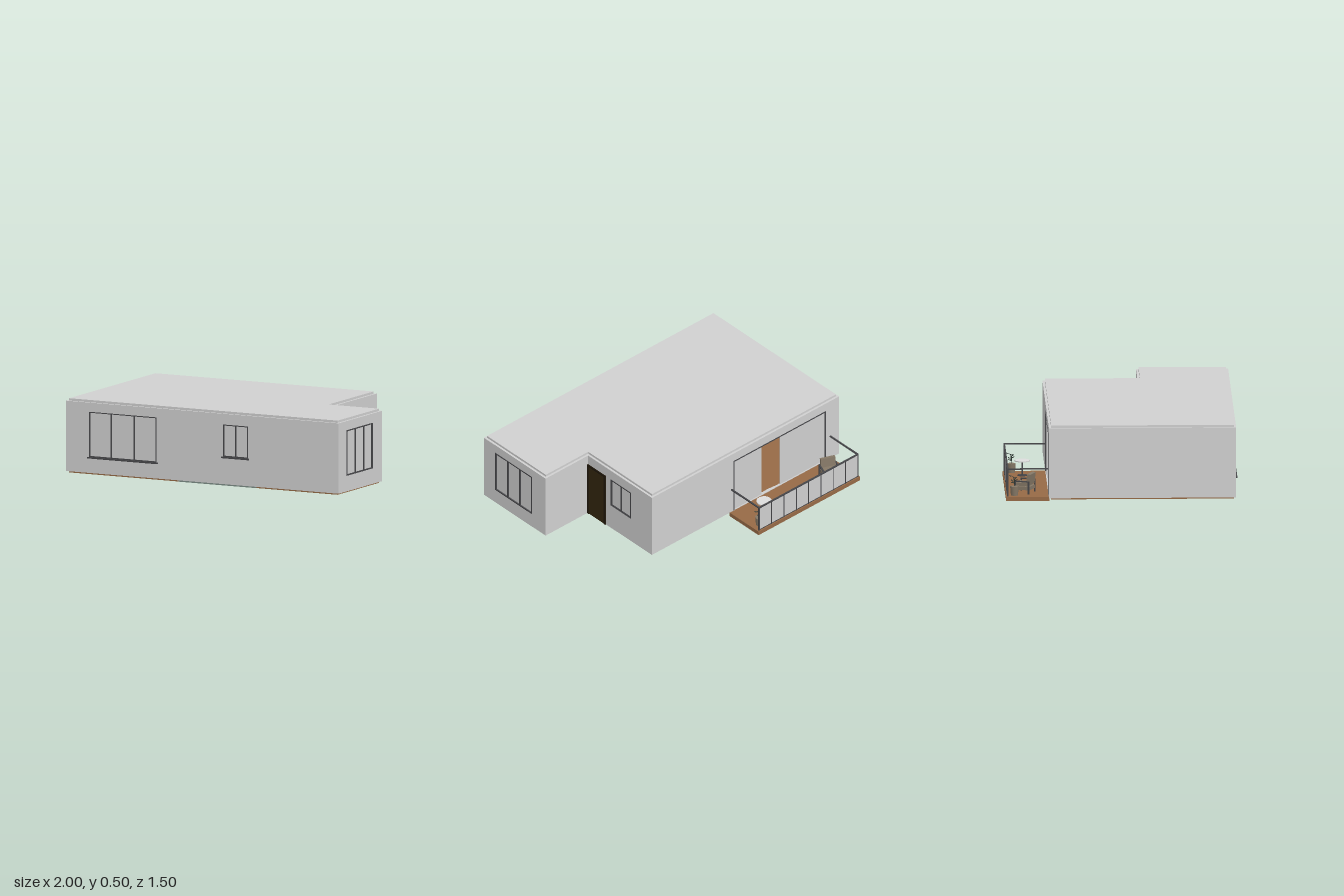
import * as THREE from 'three';

const mat = (name, color) => {
  const m = new THREE.MeshStandardMaterial({ color });
  m.name = name;
  return m;
};

export function createModel() {
  const plaster = mat('plaster', 0xd0d0d0);
  const glass = mat('paleGlass', 0xcfcfcf);
  const wood = mat('wood', 0x966a46);
  const tile = mat('tile', 0x7d8e87);
  const metal = mat('darkMetal', 0x47474a);
  const doorWood = mat('doorWood', 0x33260f);
  const doorTrim = mat('doorTrim', 0x20170a);
  const fabric = mat('fabric', 0x857866);
  const leaf = mat('leaf', 0x35403a);
  const white = mat('white', 0xdcdcdc);

  const house = new THREE.Group();
  house.name = 'house';

  const group = (name, parent, x = 0, y = 0, z = 0, ry = 0) => {
    const g = new THREE.Group();
    g.name = name;
    g.position.set(x, y, z);
    g.rotation.y = ry;
    parent.add(g);
    return g;
  };
  const add = (name, geo, m, parent, x = 0, y = 0, z = 0) => {
    const mesh = new THREE.Mesh(geo, m);
    mesh.name = name;
    mesh.position.set(x, y, z);
    parent.add(mesh);
    return mesh;
  };
  // Box given by its minimum and maximum corners
  const box = (name, m, parent, x0, x1, y0, y1, z0, z1) =>
    add(name, new THREE.BoxGeometry(x1 - x0, y1 - y0, z1 - z0), m, parent, (x0 + x1) / 2, (y0 + y1) / 2, (z0 + z1) / 2);
  const rod = (name, m, parent, r, h, x, y, z, r2 = r) =>
    add(name, new THREE.CylinderGeometry(r, r2, h, 16), m, parent, x, y + h / 2, z);

  // L-shaped horizontal slabs
  const slab = (name, m, y0, y1) => {
    const i = 0.015;
    const pts = [[-1 + i, -0.74 + i], [1 - i, -0.74 + i], [1 - i, -0.145 - i], [0.63 - i, -0.145 - i], [0.63 - i, 0.47 - i], [-1 + i, 0.47 - i]];
    const geo = new THREE.ExtrudeGeometry(new THREE.Shape(pts.map(p => new THREE.Vector2(...p))), { depth: y1 - y0, bevelEnabled: false });
    geo.rotateX(-Math.PI / 2);
    add(name, geo, m, house, 0, y0, 0);
  };
  slab('roof', plaster, 0.475, 0.505);
  slab('woodFloor', wood, 0.02, 0.034);
  box('tileFloor', tile, house, -0.18, 0.39, 0.0192, 0.0346, 0.21, 0.7258);

  // Walls: local x runs along the outside, local +z faces out
  const T = 0.03;
  const wall = (name, len, x, z, ry, openings = []) => {
    const g = group(name, house, x, 0, z, ry);
    const rect = (S, a, b, c, d) => {
      const s = new S();
      s.moveTo(a, c); s.lineTo(b, c); s.lineTo(b, d); s.lineTo(a, d); s.closePath();
      return s;
    };
    const shape = rect(THREE.Shape, 0, len, 0.03, 0.49);
    openings.forEach(o => shape.holes.push(rect(THREE.Path, o.a, o.b, o.c, o.d)));
    add(name + 'Panel', new THREE.ExtrudeGeometry(shape, { depth: T, bevelEnabled: false }), plaster, g, 0, 0, -T);
    openings.forEach(o => {
      const f = o.f || 0.006, w = group('window', g);
      const bar = (a, b, c, d) => box('frame', metal, w, a, b, c, d, -0.016, 0.002);
      bar(o.a, o.a + f, o.c, o.d);
      bar(o.b - f, o.b, o.c, o.d);
      bar(o.a, o.b, o.d - f, o.d);
      if (!o.panes) bar(o.a, o.b, o.c, o.c + f);
      (o.mullions || []).forEach(m => bar(m - f / 2, m + f / 2, o.c, o.d));
      (o.panes || [[o.a, o.b]]).forEach(([a, b]) => box('pane', glass, w, a, b, o.c, o.d, -0.012, -0.006));
      if (o.sill) box('sill', metal, w, o.a - 0.01, o.b + 0.01, o.c - 0.009, o.c, -0.01, 0.012);
    });
    return g;
  };
  wall('frontWall', 2, -1, 0.74, 0, [
    { a: 0.17, b: 0.665, c: 0.135, d: 0.43, mullions: [0.333, 0.5], sill: true },
    { a: 1.155, b: 1.335, c: 0.21, d: 0.42, mullions: [1.245], sill: true },
  ]);
  wall('leftWall', 0.595, 1, 0.74, Math.PI / 2, [
    { a: 0.11, b: 0.465, c: 0.132, d: 0.43, f: 0.008, mullions: [0.23, 0.347] },
  ]);
  wall('recessWall', 0.4, 1, 0.145, Math.PI);
  const entry = wall('entryWall', 0.615, 0.63, 0.145, Math.PI / 2, [
    { a: 0.22, b: 0.415, c: 0.212, d: 0.42, f: 0.008, mullions: [0.318] },
  ]);
  wall('backWall', 1.63, 0.63, -0.47, Math.PI, [
    { a: 0.71, b: 1.515, c: 0.034, d: 0.43, f: 0.008, panes: [[0.71, 0.96], [1.12, 1.515]] },
  ]);
  wall('rightWall', 1.21, -1, -0.47, -Math.PI / 2);

  // Entry door
  const door = group('entryDoor', entry);
  box('doorLeaf', doorWood, door, 0.012, 0.16, 0.03, 0.41, -0.01, 0.004);
  box('doorJamb', doorTrim, door, 0, 0.013, 0.03, 0.422, -0.01, 0.008);
  box('doorJamb', doorTrim, door, 0.159, 0.172, 0.03, 0.422, -0.01, 0.008);
  box('doorHead', doorTrim, door, 0, 0.172, 0.409, 0.422, -0.01, 0.008);

  // Balcony with a glazed back rail and open side rails
  const balcony = group('balcony', house);
  box('deck', wood, balcony, -0.935, -0.05, 0, 0.028, -0.745, -0.465);
  box('backGlass', glass, balcony, -0.92, -0.065, 0.035, 0.205, -0.737, -0.733);
  box('backTopRail', metal, balcony, -0.927, -0.058, 0.205, 0.213, -0.74, -0.73);
  box('backBottomRail', metal, balcony, -0.927, -0.058, 0.03, 0.036, -0.738, -0.732);
  for (const x of [-0.922, -0.063]) {
    box('sideTopRail', metal, balcony, x - 0.005, x + 0.005, 0.205, 0.213, -0.74, -0.47);
    box('cornerPost', metal, balcony, x - 0.004, x + 0.004, 0.028, 0.21, -0.739, -0.731);
  }
  for (let i = 1; i < 8; i++) {
    const x = -0.922 + i * 0.859 / 8;
    box('baluster', metal, balcony, x - 0.003, x + 0.003, 0.028, 0.21, -0.739, -0.731);
  }

  // Armchair
  const chair = group('armchair', balcony, -0.785, 0.028, -0.62, -0.39);
  box('seatBase', fabric, chair, -0.05, 0.05, 0.025, 0.048, -0.05, 0.05);
  box('seatCushion', fabric, chair, -0.042, 0.042, 0.05, 0.07, -0.052, 0.04);
  const back = box('chairBack', fabric, chair, -0.05, 0.05, 0.06, 0.13, 0.03, 0.052);
  back.rotation.x = 0.12;
  for (const s of [-1, 1]) {
    box('armRest', metal, chair, s * 0.055 - 0.005, s * 0.055 + 0.005, 0.078, 0.085, -0.05, 0.05);
    for (const z of [-0.046, 0.046]) box('chairLeg', metal, chair, s * 0.055 - 0.004, s * 0.055 + 0.004, 0, 0.08, z - 0.004, z + 0.004);
  }

  // Round side table
  const table = group('sideTable', balcony, -0.21, 0.028, -0.622);
  rod('tableTop', white, table, 0.05, 0.007, 0, 0.095, 0);
  rod('tableStem', metal, table, 0.006, 0.095, 0, 0, 0);
  rod('tableFoot', metal, table, 0.032, 0.005, 0, 0, 0);

  // Potted plants
  for (const x of [-0.877, -0.108]) {
    const plant = group('pottedPlant', balcony, x, 0.028, -0.69);
    rod('pot', fabric, plant, 0.028, 0.06, 0, 0, 0, 0.023);
    for (let i = 0; i < 9; i++) {
      const a = i * 2.4, r = 0.008 + (i % 3) * 0.007, h = 0.08 + (i * 4 % 9) * 0.006;
      const curve = new THREE.QuadraticBezierCurve3(new THREE.Vector3(0, 0.055, 0), new THREE.Vector3(0, h, 0), new THREE.Vector3(Math.cos(a) * r, h, Math.sin(a) * r));
      add('stem', new THREE.TubeGeometry(curve, 5, 0.0015, 5), leaf, plant);
      const l = add('leaf', new THREE.SphereGeometry(0.009, 8, 6), leaf, plant, Math.cos(a) * r * 1.3, h, Math.sin(a) * r * 1.3);
      l.scale.set(1, 0.3, 0.55);
      l.rotation.set(0, -a, 0.5);
    }
  }

  // Dining set inside the sliding door
  const dining = group('diningSet', house, -0.28, 0.034, -0.22);
  box('diningTop', metal, dining, -0.16, 0.16, 0.13, 0.14, -0.08, 0.08);
  for (const x of [-0.145, 0.145]) for (const z of [-0.065, 0.065]) box('diningLeg', metal, dining, x - 0.006, x + 0.006, 0, 0.13, z - 0.006, z + 0.006);
  for (const s of [-1, 1]) for (const x of [-0.08, 0.08]) {
    const c = group('diningChair', dining, x, 0, s * 0.115, s > 0 ? 0 : Math.PI);
    box('diningSeat', doorTrim, c, -0.035, 0.035, 0.075, 0.083, -0.035, 0.035);
    box('diningBack', doorTrim, c, -0.035, 0.035, 0.11, 0.165, 0.028, 0.035);
    for (const lx of [-0.031, 0.031]) for (const lz of [-0.031, 0.031]) box('diningChairLeg', doorTrim, c, lx - 0.004, lx + 0.004, 0, lz > 0 ? 0.12 : 0.078, lz - 0.004, lz + 0.004);
  }
  for (const x of [-0.08, 0.08]) rod('plate', white, dining, 0.025, 0.004, x, 0.14, 0);

  return house;
}
